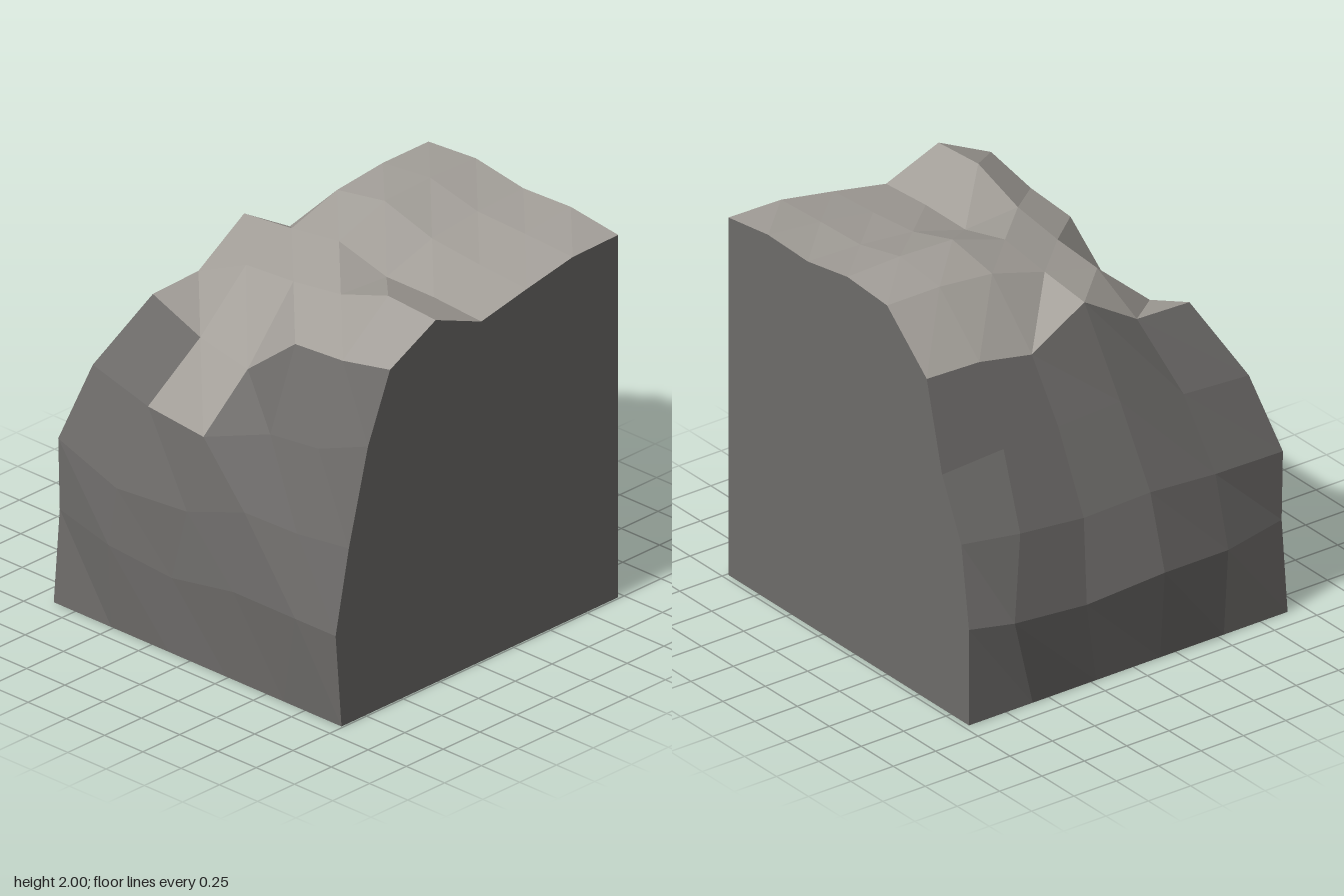
import * as THREE from 'three';

const rock = new THREE.MeshStandardMaterial({ color: 0x6e6c6a, side: THREE.DoubleSide, flatShading: true });
rock.name = 'dark rock';
const cap = new THREE.MeshStandardMaterial({ color: 0xa39f99, side: THREE.DoubleSide, flatShading: true });
cap.name = 'pale rock';

const STEP = 0.31, X0 = -0.56, Z0 = -0.97, X1 = 0.99;

// Plateau heights: rows run back to front, columns run -x to +x
const heights = [
  [1.71, 1.97, 1.99, 1.94, 1.95, 1.91],
  [1.70, 1.97, 2.00, 1.93, 1.92, 1.905],
  [1.64, 1.94, 1.99, 1.90, 1.87, 1.85],
  [1.82, 1.85, 1.89, 1.81, 1.81, 1.79],
  [1.63, 1.77, 1.79, 1.83, 1.93, 1.91],
  [1.62, 1.50, 1.44, 1.68, 1.70, 1.76],
];
const top = heights.map((row, j) => row.map((y, i) => [X0 + i * STEP, y, Z0 + j * STEP]));

// Cliff rings, each from the back end, round the corner, to the +x end
const upper = [
  [-0.68, 1.25, -0.97], [-0.71, 1.29, -0.63], [-0.70, 1.30, -0.30], [-0.72, 1.33, 0.05], [-0.74, 1.26, 0.41],
  [-0.76, 1.25, 0.78],
  [-0.38, 1.17, 0.80], [0.03, 1.17, 0.85], [0.39, 1.28, 0.77], [0.70, 1.31, 0.765], [0.99, 1.41, 0.73],
];
const middle = [
  [-0.83, 0.94, -0.97], [-0.88, 0.92, -0.66], [-0.86, 0.87, -0.27], [-0.89, 0.90, 0.10], [-0.87, 0.86, 0.50],
  [-0.88, 0.86, 0.89],
  [-0.47, 0.75, 0.92], [-0.02, 0.78, 0.91], [0.36, 0.91, 0.915], [0.68, 0.90, 0.89], [0.99, 0.92, 0.86],
];
const lower = [
  [-0.89, 0.51, -0.97], [-0.97, 0.51, -0.76], [-0.95, 0.46, -0.32], [-0.99, 0.51, 0.11], [-0.93, 0.47, 0.53],
  [-0.87, 0.49, 0.89],
  [-0.50, 0.45, 0.945], [-0.10, 0.41, 0.93], [0.32, 0.49, 0.95], [0.74, 0.50, 0.965], [0.99, 0.49, 0.95],
];
const rim = top.map((row) => row[0]).concat(top[5].slice(1));
const foot = rim.map((_, k) => (k <= 5
  ? [-0.89, 0, Z0 + k * 0.376]
  : [-0.89 + (k - 5) * 0.376, 0, 0.91]));
const rings = [rim, upper, middle, lower, foot];

// Faceted mesh from four-cornered faces
function facets(name, quads, material) {
  const points = quads.flatMap(([a, b, c, d]) => [a, b, c, a, c, d]).flat();
  const geometry = new THREE.BufferGeometry();
  geometry.setAttribute('position', new THREE.Float32BufferAttribute(points, 3));
  geometry.computeVertexNormals();
  const mesh = new THREE.Mesh(geometry, material);
  mesh.name = name;
  return mesh;
}

// Flat cut face from an outline
function cutWall(name, outline) {
  const shape = new THREE.Shape(outline.map(([u, v]) => new THREE.Vector2(u, v)));
  const mesh = new THREE.Mesh(new THREE.ShapeGeometry(shape), rock);
  mesh.name = name;
  return mesh;
}

export function createModel() {
  const group = new THREE.Group();
  group.name = 'cliffCorner';

  // Plateau
  const capQuads = [];
  for (let j = 0; j < 5; j++) {
    for (let i = 0; i < 5; i++) {
      capQuads.push([top[j][i], top[j + 1][i], top[j + 1][i + 1], top[j][i + 1]]);
    }
  }

  // Cliff faces; one upper facet at the front is a pale spill of the plateau
  const cliffQuads = [];
  for (let r = 0; r < 4; r++) {
    for (let k = 0; k < 10; k++) {
      const quad = [rings[r][k], rings[r + 1][k], rings[r + 1][k + 1], rings[r][k + 1]];
      (r === 0 && k === 6 ? capQuads : cliffQuads).push(quad);
    }
  }
  group.add(facets('plateau', capQuads, cap), facets('cliff', cliffQuads, rock));

  // Flat cut walls at the back and on the +x side; the underside stays open
  const backEdge = [...top[0]].reverse().concat(rings.slice(1).map((ring) => ring[0]), [[X1, 0, Z0]]);
  const back = cutWall('backWall', backEdge.map(([x, y]) => [-x, y]));
  back.rotation.y = Math.PI;
  back.position.z = Z0;

  const sideEdge = top.map((row) => row[5]).concat(rings.slice(1).map((ring) => ring[10]), [[X1, 0, Z0]]);
  const side = cutWall('leftWall', sideEdge.map(([, y, z]) => [-z, y]));
  side.rotation.y = Math.PI / 2;
  side.position.x = X1;

  group.add(back, side);
  return group;
}
